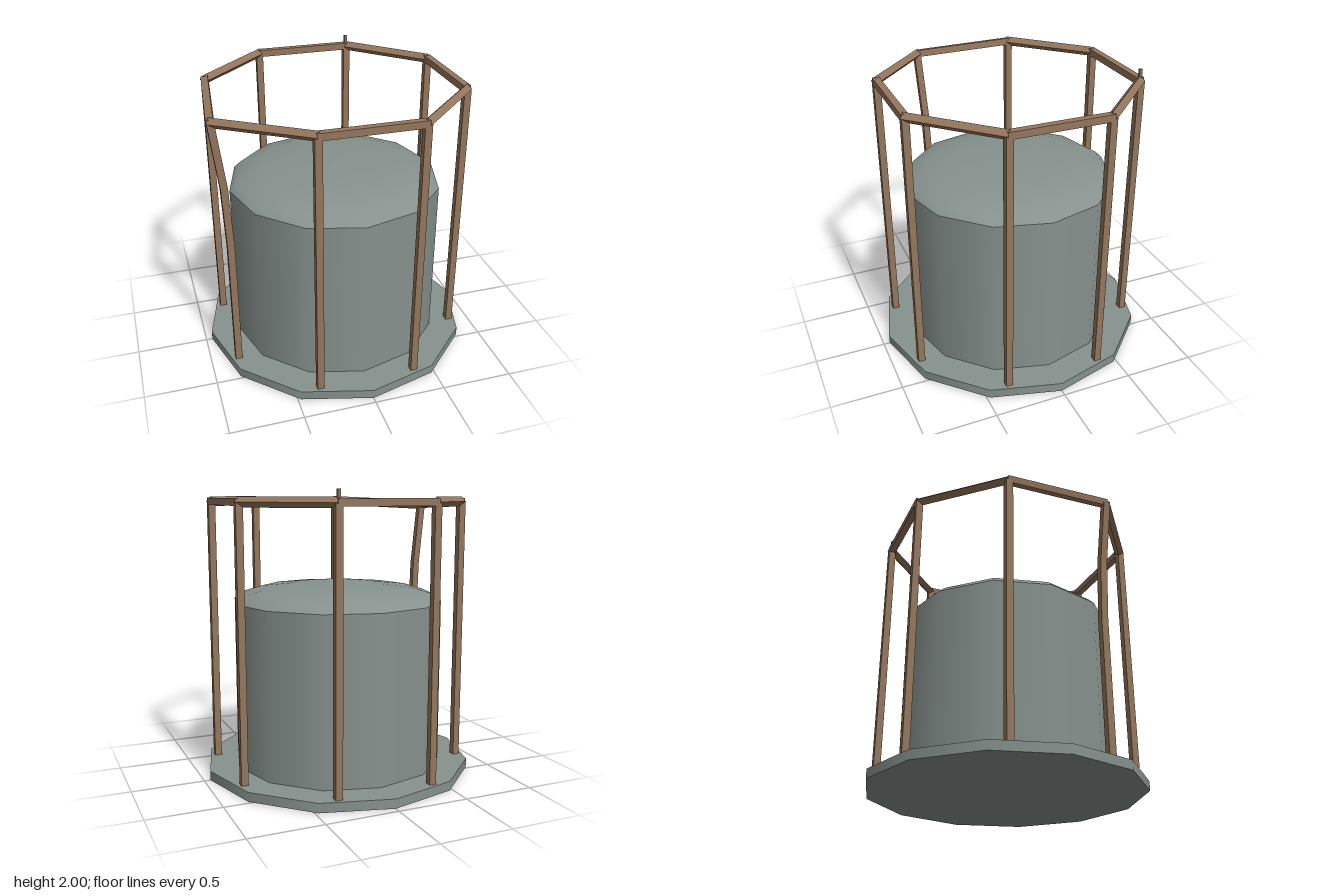
import * as THREE from 'three';
import { toCreasedNormals } from 'three/addons/utils/BufferGeometryUtils.js';

const BASE_TOP = 0.065, RAIL_Y = 1.92, BAR = 0.048;

export function createModel() {
  const model = new THREE.Group();
  model.name = 'fencedTank';
  const steel = new THREE.MeshStandardMaterial({ color: 0x87928e });
  steel.name = 'grey green metal';
  const wood = new THREE.MeshStandardMaterial({ color: 0x94765c });
  wood.name = 'brown rail';

  const add = (name, geometry, material) => {
    const mesh = new THREE.Mesh(geometry, material);
    mesh.name = name;
    model.add(mesh);
    return mesh;
  };

  // Twelve-sided slab with a corner on each axis
  const slab = new THREE.CylinderGeometry(0.956, 0.956, BASE_TOP, 12);
  add('baseSlab', slab, steel).position.y = BASE_TOP / 2;

  // Tank wall and its shallow dome
  const wallHeight = 1.225 - BASE_TOP;
  const wall = new THREE.CylinderGeometry(0.747, 0.747, wallHeight, 12, 1, true);
  add('tankWall', wall, steel).position.y = BASE_TOP + wallHeight / 2;
  const domeProfile = [[0.747, 1.225], [0.7, 1.27], [0.55, 1.315], [0.33, 1.338], [0, 1.348]]
    .map(([r, y]) => new THREE.Vector2(r, y));
  add('tankDome', new THREE.LatheGeometry(domeProfile, 12), steel);

  // Corners of the frame, in order round the tank
  const corners = [
    [0.338, 0.813], [0.813, 0.338], [0.813, -0.338], [0.338, -0.813],
    [-0.338, -0.813], [-0.813, -0.338], [-0.813, 0.338], [-0.338, 0.813],
  ];
  const BENT = 6;

  // Upright posts; one is bent outwards above mid height
  const postHeight = RAIL_Y - BASE_TOP;
  corners.forEach(([x, z], i) => {
    if (i === BENT) return;
    const post = add('post' + (i + 1), new THREE.BoxGeometry(BAR, postHeight, BAR), wood);
    post.position.set(x, BASE_TOP + postHeight / 2, z);
  });
  const bendRows = [[BASE_TOP, 0, 0], [1.0, 0, 0], [1.43, -0.018, 0.008], [1.89, -0.075, 0.028]];
  const bent = new THREE.BoxGeometry(BAR, 3, BAR, 1, 3, 1);
  const p = bent.attributes.position;
  for (let i = 0; i < p.count; i++) {
    const [y, dx, dz] = bendRows[Math.round(p.getY(i) + 1.5)];
    p.setXYZ(i, p.getX(i) + dx, y, p.getZ(i) + dz);
  }
  const bentPost = add('bentPost', toCreasedNormals(bent, 0.01), wood);
  bentPost.position.set(corners[BENT][0], 0, corners[BENT][1]);

  // Top rails from corner to corner; the diagonal ones are turned on edge
  const tops = corners.map(([x, z], i) => i === BENT
    ? new THREE.Vector3(-0.886, 1.888, 0.363)
    : new THREE.Vector3(x, RAIL_Y, z));
  tops.forEach((a, i) => {
    const b = tops[(i + 1) % tops.length];
    const rail = add('rail' + (i + 1), new THREE.BoxGeometry(BAR, BAR, a.distanceTo(b) + 0.02), wood);
    rail.position.copy(a).lerp(b, 0.5);
    rail.lookAt(b);
    if (i % 2 === 0) rail.rotateZ(Math.PI / 4);
    else if (i === BENT - 1) rail.rotateZ(0.15);
  });

  // Short stub standing on one back corner
  add('cornerStub', new THREE.BoxGeometry(0.02, 0.1, 0.02), wood).position.set(0.335, 1.95, -0.813);

  return model;
}
